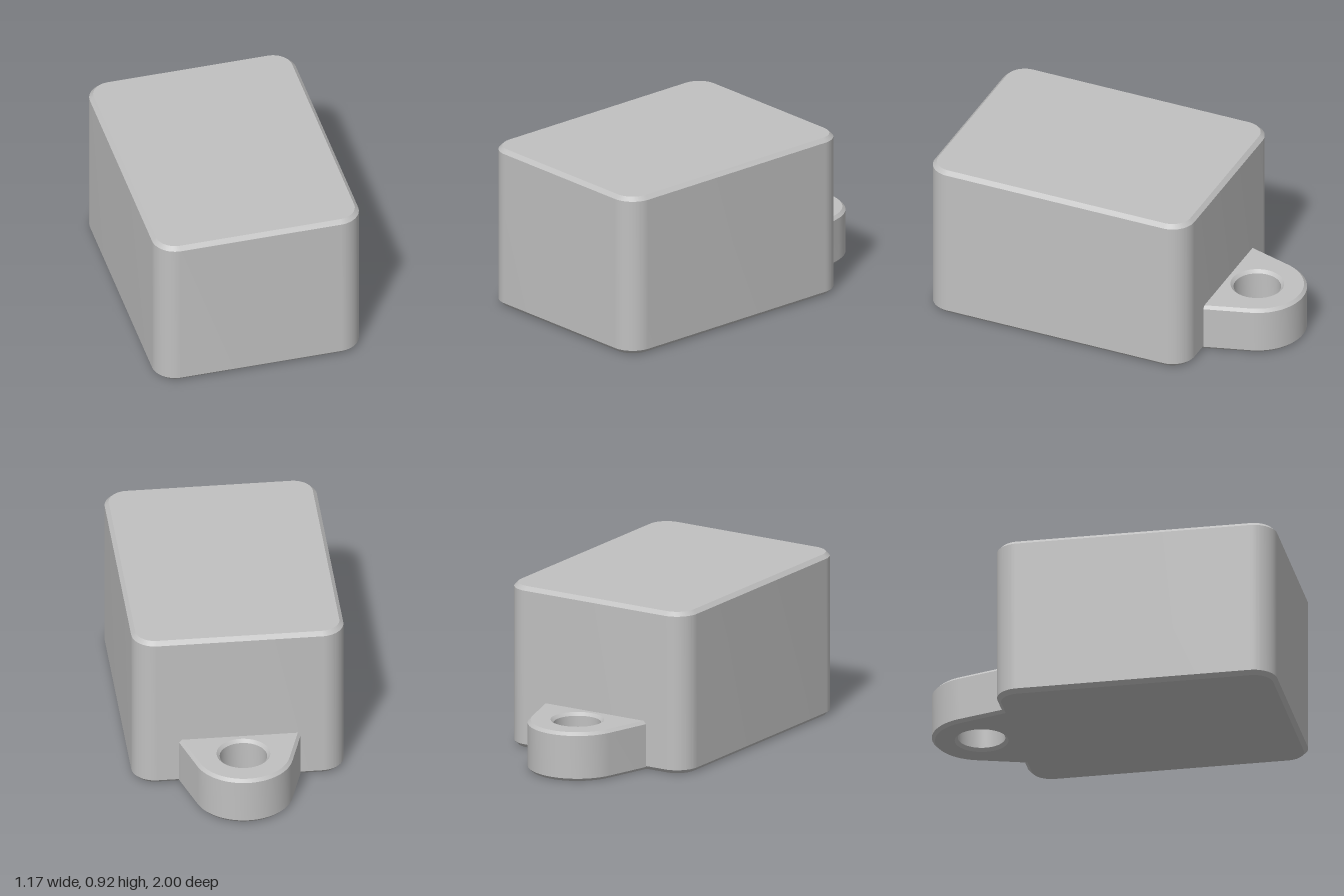
import * as THREE from 'three';
import { toCreasedNormals } from 'three/addons/utils/BufferGeometryUtils.js';

// Extrudes a plan outline (shape y = -z) upward from y = 0 with chamfered top and bottom edges.
function chamferedBlock(shape, height, chamfer) {
  const geometry = new THREE.ExtrudeGeometry(shape, {
    depth: height - 2 * chamfer,
    bevelEnabled: true,
    bevelSegments: 1,
    bevelSize: chamfer,
    bevelThickness: chamfer,
    bevelOffset: -chamfer,
    curveSegments: 20,
  });
  geometry.translate(0, 0, chamfer);
  geometry.rotateX(-Math.PI / 2);
  return toCreasedNormals(geometry, Math.PI / 6);
}

// Rectangle with rounded corners
function roundedRectangle(x0, x1, y0, y1, r) {
  const s = new THREE.Shape();
  s.moveTo(x0 + r, y0);
  s.lineTo(x1 - r, y0);
  s.absarc(x1 - r, y0 + r, r, -Math.PI / 2, 0);
  s.lineTo(x1, y1 - r);
  s.absarc(x1 - r, y1 - r, r, 0, Math.PI / 2);
  s.lineTo(x0 + r, y1);
  s.absarc(x0 + r, y1 - r, r, Math.PI / 2, Math.PI);
  s.lineTo(x0, y0 + r);
  s.absarc(x0 + r, y0 + r, r, Math.PI, Math.PI * 1.5);
  return s;
}

// Tapered lug with a round end and a hole; its base runs a little into the body
function lugOutline(centre, radius, holeRadius, baseY, tilt) {
  const s = new THREE.Shape();
  const tangentX = radius * Math.cos(tilt);
  const tangentY = centre + radius * Math.sin(tilt);
  const baseX = tangentX + (tangentY - baseY) * Math.tan(tilt);
  s.moveTo(-baseX, baseY);
  s.lineTo(baseX, baseY);
  s.lineTo(tangentX, tangentY);
  s.absarc(0, centre, radius, tilt, Math.PI - tilt);
  const hole = new THREE.Path();
  hole.absarc(0, centre, holeRadius, 0, Math.PI * 2, true);
  s.holes.push(hole);
  return s;
}

export function createModel() {
  const grey = new THREE.MeshStandardMaterial({ color: 0xc0c0c0 });
  grey.name = 'grey';
  const model = new THREE.Group();
  model.name = 'blockWithLug';

  const body = new THREE.Mesh(
    chamferedBlock(roundedRectangle(-0.583, 0.583, -1, 0.555, 0.13), 0.917, 0.022), grey);
  body.name = 'body';

  const lug = new THREE.Mesh(
    chamferedBlock(lugOutline(0.728, 0.272, 0.13, 0.5, THREE.MathUtils.degToRad(16.4)), 0.277, 0.017), grey);
  lug.name = 'mountingLug';

  model.add(body, lug);
  return model;
}
